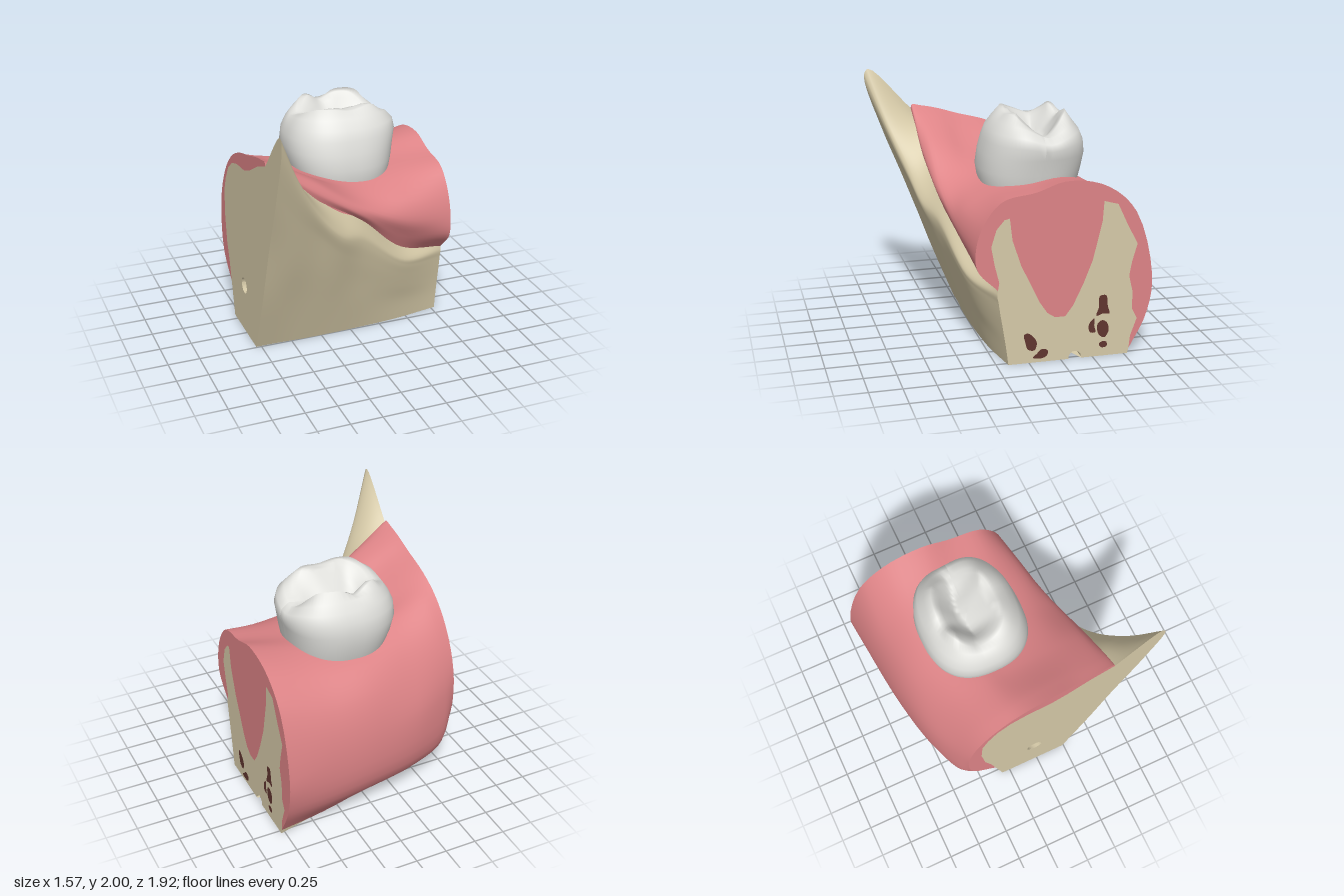
import * as THREE from 'three';

const V = (x, y, z) => new THREE.Vector3(x, y, z);
const LEFT = -0.79, RIGHT = 0.78;

const mat = (name, color) => {
  const m = new THREE.MeshStandardMaterial({ color, side: THREE.DoubleSide });
  m.name = name;
  return m;
};

// Smooth surface from a function of two parameters in 0..1
function grid(nu, nv, f) {
  const pos = [], idx = [];
  for (let i = 0; i <= nu; i++)
    for (let j = 0; j <= nv; j++) pos.push(...f(i / nu, j / nv).toArray());
  for (let i = 0; i < nu; i++)
    for (let j = 0; j < nv; j++) {
      const a = i * (nv + 1) + j, b = a + nv + 1;
      idx.push(a, b, a + 1, b, b + 1, a + 1);
    }
  const g = new THREE.BufferGeometry();
  g.setAttribute('position', new THREE.Float32BufferAttribute(pos, 3));
  g.setIndex(idx);
  g.computeVertexNormals();
  return g;
}

// Lengthwise splines through matching points of the key sections [x, [z, y, z, y, ...]]
function loft(keys) {
  const n = keys[0][1].length / 2, rails = [];
  for (let k = 0; k < n; k++)
    rails.push(new THREE.CatmullRomCurve3(keys.map(([x, p]) => V(x, p[2 * k + 1], p[2 * k]))));
  const section = u => new THREE.CatmullRomCurve3(rails.map(r => r.getPoint(u)));
  const outline = (u, m) => section(u).getPoints(m).map(p => [p.z, p.y]);
  const geometry = (nu, nv) => {
    const rows = [];
    for (let i = 0; i <= nu; i++) rows.push(section(i / nu).getPoints(nv));
    return grid(nu, nv, (u, v) => rows[Math.round(u * nu)][Math.round(v * nv)]);
  };
  return { rails, outline, geometry };
}

// Flat face in the z-y plane at an end of the block
function endFace(points, x, side, hole) {
  const s = new THREE.Shape(points.map(([z, y]) => new THREE.Vector2(-side * z, y)));
  if (hole) s.holes.push(new THREE.Path().absarc(-side * hole[0], hole[1], hole[2], 0, Math.PI * 2));
  return new THREE.ShapeGeometry(s, 16).rotateY(side * Math.PI / 2).translate(x, 0, 0);
}

const gumLoft = loft([
  [LEFT, [.58, 1.66, .57, 1.69, .5, 1.68, .36, 1.65, .2, 1.6, -.05, 1.53, -.25, 1.43, -.42, 1.27, -.55, 1.05, -.61, .8, -.57, .48, -.38, .28]],
  [-.68, [.575, 1.58, .57, 1.61, .51, 1.62, .37, 1.6, .2, 1.54, -.06, 1.48, -.27, 1.41, -.45, 1.26, -.59, 1.03, -.67, .74, -.65, .31, -.41, .07]],
  [-.4, [.55, 1.33, .56, 1.39, .51, 1.45, .38, 1.45, .2, 1.39, -.1, 1.35, -.3, 1.35, -.5, 1.24, -.68, 1, -.785, .7, -.75, .27, -.49, .02]],
  [0, [.47, 1.06, .51, 1.11, .5, 1.17, .38, 1.23, .2, 1.27, -.1, 1.3, -.35, 1.3, -.6, 1.22, -.77, 1.03, -.87, .68, -.84, .28, -.6, .01]],
  [.4, [.33, .7, .4, .83, .46, .98, .4, 1.13, .2, 1.25, -.1, 1.3, -.35, 1.33, -.62, 1.25, -.82, 1.03, -.92, .65, -.89, .28, -.7, .01]],
  [RIGHT, [.24, .6, .39, .76, .405, .92, .34, 1.12, .2, 1.28, -.05, 1.33, -.28, 1.4, -.58, 1.35, -.82, 1.14, -.965, .6, -.92, .3, -.79, .04]],
]);

const boneLoft = loft([
  [LEFT, [.24, 0, .44, .5, .62, 1, .82, 1.5, .955, 1.95, .92, 2, .58, 1.66]],
  [-.6, [.24, 0, .42, .45, .58, .85, .72, 1.25, .81, 1.54, .79, 1.575, .57, 1.53]],
  [-.4, [.25, 0, .4, .4, .53, .75, .63, 1.05, .69, 1.22, .67, 1.27, .54, 1.34]],
  [-.2, [.25, 0, .37, .33, .47, .6, .56, .85, .61, 1, .6, 1.05, .51, 1.18]],
  [0, [.245, 0, .34, .28, .41, .5, .48, .72, .52, .88, .52, .95, .46, 1.07]],
  [.4, [.22, 0, .27, .2, .32, .35, .36, .48, .385, .57, .39, .62, .325, .71]],
  [RIGHT, [.16, 0, .18, .15, .2, .28, .22, .4, .235, .5, .245, .56, .24, .6]],
]);

const boneBackLoft = loft([
  [LEFT, [-.42, .45, -.315, 0]], [-.6, [-.43, .25, -.385, 0]], [-.4, [-.5, .2, -.45, 0]],
  [0, [-.62, .2, -.575, 0]], [.4, [-.72, .2, -.68, 0]], [RIGHT, [-.82, .2, -.78, 0]],
]);

// Bone edges under the gum on the cut ends, front to back
const leftEdge = [[.4, 1.59], [.2, 1.48], [.07, 1.43], [-.12, 1.41], [-.25, 1.37], [-.36, 1.29], [-.44, 1.17],
  [-.49, 1.05], [-.5, .84], [-.47, .6], [-.42, .45], [-.38, .28]];
const rightEdge = [[.23, .66], [.265, .8], [.29, .94], [.25, 1.07], [.19, 1.14], [.15, 1.15], [.13, .98], [.06, .77],
  [0, .65], [-.08, .48], [-.14, .39], [-.2, .35], [-.28, .35], [-.34, .43], [-.42, .6], [-.49, .78], [-.53, .95],
  [-.56, 1.08], [-.57, 1.23], [-.68, 1.2], [-.76, 1.03], [-.84, .88], [-.8, .74], [-.78, .63], [-.81, .5],
  [-.81, .36], [-.85, .28], [-.8, .14]];

// Chewing surface height: two rows of cusps beside a wavy central fissure
function crownHeight(x, z) {
  const d = z + .26 + .02 * Math.sin(14 * x);
  const wall = Math.pow(Math.min(1, Math.abs(d) / (d < 0 ? .15 : .22)), 1.15);
  const floor = 1.58 + .08 * THREE.MathUtils.smoothstep(x, .2, .36) + .13 * THREE.MathUtils.smoothstep(-x, .05, .24);
  const lingual = .07 * Math.exp(-Math.pow(x / .08, 2)), buccal = .025 * Math.exp(-Math.pow((x - .08) / .1, 2));
  return floor + (1.8 - floor) * wall - (d < 0 ? lingual : buccal) * wall
    - .25 * Math.max(0, x - .24) - .15 * Math.max(0, -x - .15);
}

function toothGeometry() {
  // Rows: y (null = chewing surface), x min, x max, z min, z max
  const rows = [[1.12, -.29, .39, -.5, .17], [1.24, -.32, .43, -.55, .205], [1.36, -.365, .455, -.58, .22],
    [1.48, -.385, .48, -.6, .2], [1.58, -.375, .5, -.585, .175], [1.66, -.345, .485, -.55, .145],
    [1.73, -.305, .43, -.5, .09], [null, -.25, .37, -.45, .03]];
  for (const s of [.88, .76, .64, .52, .4, .28, .16, .001])
    rows.push([null, .06 - .31 * s, .06 + .31 * s, -.22 - .23 * s, -.22 + .25 * s]);
  const pow = c => Math.sign(c) * Math.pow(Math.abs(c), .82);
  return grid(72, rows.length - 1, (u, v) => {
    const [y, x0, x1, z0, z1] = rows[Math.round(v * (rows.length - 1))];
    const a = -u * Math.PI * 2;
    const x = (x0 + x1) / 2 + (x1 - x0) / 2 * pow(Math.cos(a));
    const z = (z0 + z1) / 2 + (z1 - z0) / 2 * pow(Math.sin(a));
    if (y === null) return V(x, crownHeight(x, z), z);
    // Shoulders sink at both ends between the cusps
    const sink = Math.max(0, y - 1.5) * Math.exp(-Math.pow((z + .25) / .15, 2)) * (x > 0 ? .38 : .15);
    return V(x, y - sink, z);
  });
}

export function createModel() {
  const root = new THREE.Group();
  const gum = mat('gum pink', 0xde8487), bone = mat('bone beige', 0xd6caa8);
  const enamel = mat('tooth white', 0xe0e0dc), marrow = mat('marrow red', 0x60352f);
  const add = (name, geometry, material) => {
    const m = new THREE.Mesh(geometry, material);
    m.name = name;
    root.add(m);
  };

  add('tooth', toothGeometry(), enamel);

  // Gum and its cut ends
  const gumL = gumLoft.outline(0, 48), gumR = gumLoft.outline(1, 48);
  add('gum', gumLoft.geometry(60, 48), gum);
  add('gumLeftEnd', endFace([...gumL, ...[...leftEdge].reverse()], LEFT, -1), gum);
  add('gumRightEnd', endFace([...gumR, ...[...rightEdge].reverse()], RIGHT, 1), gum);

  // Jaw bone walls and cut ends
  add('boneFront', boneLoft.geometry(48, 36), bone);
  add('boneBack', boneBackLoft.geometry(30, 4), bone);
  add('boneLeftEnd', endFace([...boneLoft.outline(0, 36), ...leftEdge, [-.315, 0]], LEFT, -1, [-.03, .41, .065]), bone);
  const notch = [];
  for (let i = 0; i <= 8; i++) {
    const a = Math.PI * (1 - i / 8);
    notch.push([-.36 + .05 * Math.cos(a), .01 + .05 * Math.sin(a)]);
  }
  add('boneRightEnd', endFace([...boneLoft.outline(1, 36), ...rightEdge, [-.79, .04], [-.78, 0],
    [-.41, 0], ...notch, [-.31, 0]], RIGHT, 1), bone);

  // Underside with the canal opening
  const front = boneLoft.rails[0].getPoints(24), back = boneBackLoft.rails[1].getPoints(30).reverse();
  const under = [...front, V(RIGHT, 0, -.31), V(.6, 0, -.34), V(RIGHT, 0, -.41), ...back];
  add('boneUnderside', new THREE.ShapeGeometry(
    new THREE.Shape(under.map(p => new THREE.Vector2(p.x, p.z)))).rotateX(Math.PI / 2), bone);

  // Nerve canal, narrowing towards its right end where it opens below
  const path = new THREE.CatmullRomCurve3([V(LEFT, .41, -.03), V(0, .24, -.2), V(RIGHT, .01, -.36)]);
  const canal = (length, from) => grid(30, 10, (u, v) => {
    const a = from + v * Math.PI, r = .065 - .015 * u * length;
    return path.getPoint(u * length).add(V(0, r * Math.sin(a), r * Math.cos(a)));
  });
  add('canalRoof', canal(1, 0), bone);
  add('canalFloor', canal(.85, Math.PI), bone);

  // Marrow spaces on the right end
  const spaces = [
    [[.04, .23], [.01, .24], [-.04, .2], [-.06, .15], [-.04, .1], [.01, .11], [.03, .17]],
    [[-.03, .04], [-.06, .07], [-.1, .105], [-.145, .09], [-.14, .05], [-.1, .03]],
    [[-.55, .485], [-.6, .49], [-.615, .4], [-.63, .34], [-.58, .345], [-.525, .33], [-.545, .4]],
    [[-.535, .26], [-.57, .29], [-.61, .27], [-.625, .2], [-.59, .15], [-.545, .18]],
    [[-.55, .1], [-.58, .12], [-.61, .11], [-.61, .075], [-.57, .07]],
    [[-.475, .28], [-.51, .31], [-.51, .25], [-.52, .2], [-.48, .2], [-.465, .24]],
  ];
  for (const s of spaces) {
    const loop = new THREE.CatmullRomCurve3(s.map(([z, y]) => V(0, y, z)), true).getPoints(28).slice(0, -1);
    add('marrowSpace', endFace(loop.map(p => [p.z, p.y]), RIGHT + .003, 1), marrow);
  }
  return root;
}
